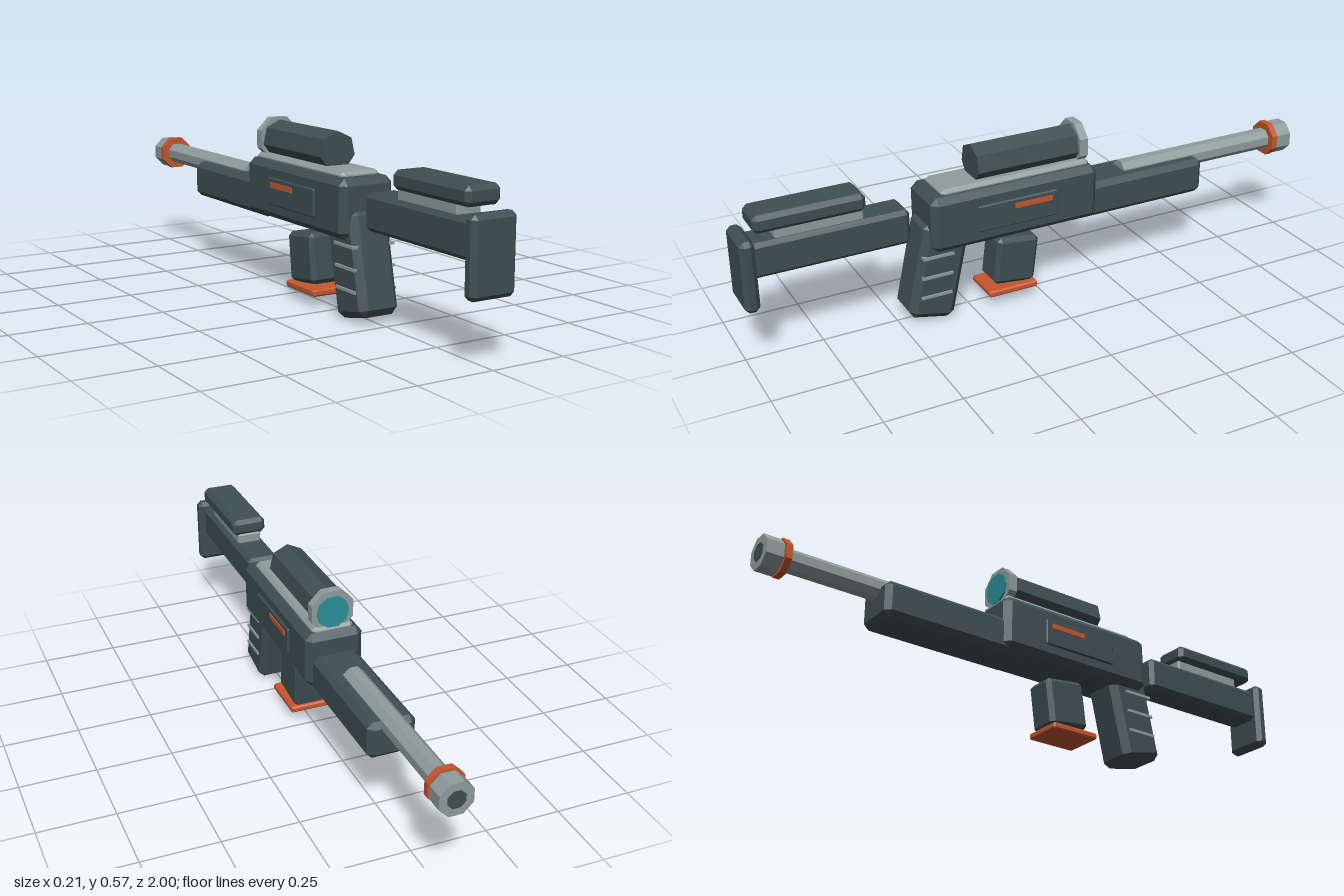
import * as THREE from 'three';
import { ConvexGeometry } from 'three/addons/geometries/ConvexGeometry.js';

const mat = (name, color) => {
  const m = new THREE.MeshStandardMaterial({ color, flatShading: true });
  m.name = name;
  return m;
};

// Box whose every edge is cut by one flat chamfer of size c
function chamferBox(w, h, d, c) {
  const pts = [];
  for (const x of [-w / 2, w / 2]) for (const y of [-h / 2, h / 2]) for (const z of [-d / 2, d / 2]) {
    const ix = x - Math.sign(x) * c, iy = y - Math.sign(y) * c, iz = z - Math.sign(z) * c;
    pts.push(new THREE.Vector3(x, iy, iz), new THREE.Vector3(ix, y, iz), new THREE.Vector3(ix, iy, z));
  }
  return new ConvexGeometry(pts);
}

export function createModel() {
  const body = mat('slate', 0x3f4f52);
  const metal = mat('paleMetal', 0x8f9d9c);
  const accent = mat('orange', 0xc4572f);
  const glass = mat('tealGlass', 0x2a8f95);
  const model = new THREE.Group();
  model.name = 'rifle';

  const add = (name, geometry, material, x, y, z, tilt = 0) => {
    const mesh = new THREE.Mesh(geometry, material);
    mesh.name = name;
    mesh.position.set(x, y, z);
    mesh.rotation.x = tilt;
    model.add(mesh);
    return mesh;
  };
  // Chamfered block given by its half width and its y and z ranges
  const block = (name, material, hx, y0, y1, z0, z1, c) =>
    add(name, chamferBox(hx * 2, y1 - y0, z1 - z0, c), material, 0, (y0 + y1) / 2, (z0 + z1) / 2);
  // Prism along z; turn rotates its vertices about the axis
  const prism = (name, material, r, sides, y, z0, z1, turn = Math.PI / sides) => {
    const g = new THREE.CylinderGeometry(r, r, z1 - z0, sides);
    g.rotateY(turn).rotateX(-Math.PI / 2);
    return add(name, g, material, 0, y, (z0 + z1) / 2);
  };

  // Stock
  block('buttPlate', body, 0.077, 0.2, 0.435, 0.953, 1, 0.014);
  block('stock', body, 0.056, 0.3, 0.415, 0.46, 0.965, 0.013);
  block('cheekRiser', metal, 0.042, 0.41, 0.45, 0.605, 0.885, 0.006);
  block('cheekRest', body, 0.06, 0.445, 0.503, 0.6, 0.95, 0.014);

  // Receiver, top rail and handguard
  block('receiver', body, 0.096, 0.26, 0.446, -0.185, 0.403, 0.021);
  block('topRail', metal, 0.069, 0.436, 0.462, -0.165, 0.36, 0.011);
  block('handguard', body, 0.077, 0.25, 0.372, -0.61, -0.09, 0.018);

  // Side panels with accent strips
  for (const s of [1, -1]) {
    add('sidePanel', chamferBox(0.014, 0.09, 0.28, 0.004), body, s * 0.096, 0.353, 0.11);
    add('accentStrip', new THREE.BoxGeometry(0.008, 0.017, 0.133), accent, s * 0.103, 0.375, 0.058);
  }

  // Raked grip with cross ribs
  const rake = -0.215;
  add('grip', chamferBox(0.14, 0.33, 0.16, 0.022), body, 0, 0.18, 0.37, rake);
  for (let i = 0; i < 3; i++)
    add('gripRib', new THREE.BoxGeometry(0.152, 0.009, 0.105), metal, 0, 0.107 + i * 0.068, 0.39 - i * 0.006);

  // Magazine and base plate
  add('magazine', chamferBox(0.11, 0.165, 0.15, 0.014), body, 0, 0.147, 0.093, -0.12);
  block('magazineBase', accent, 0.068, 0.04, 0.062, 0.025, 0.2, 0.005);

  // Scope
  prism('scopeTube', body, 0.064, 7, 0.505, -0.14, 0.23, 0);
  prism('scopeRing', metal, 0.0757, 8, 0.507, -0.157, -0.128);
  prism('lens', glass, 0.054, 10, 0.507, -0.163, -0.156);

  // Barrel and muzzle
  prism('barrel', metal, 0.0365, 8, 0.362, -0.96, -0.32);
  prism('muzzleBand', accent, 0.061, 8, 0.362, -0.938, -0.917);
  prism('muzzle', metal, 0.057, 8, 0.36, -0.998, -0.942);
  prism('bore', body, 0.03, 8, 0.36, -1, -0.995);

  return model;
}
